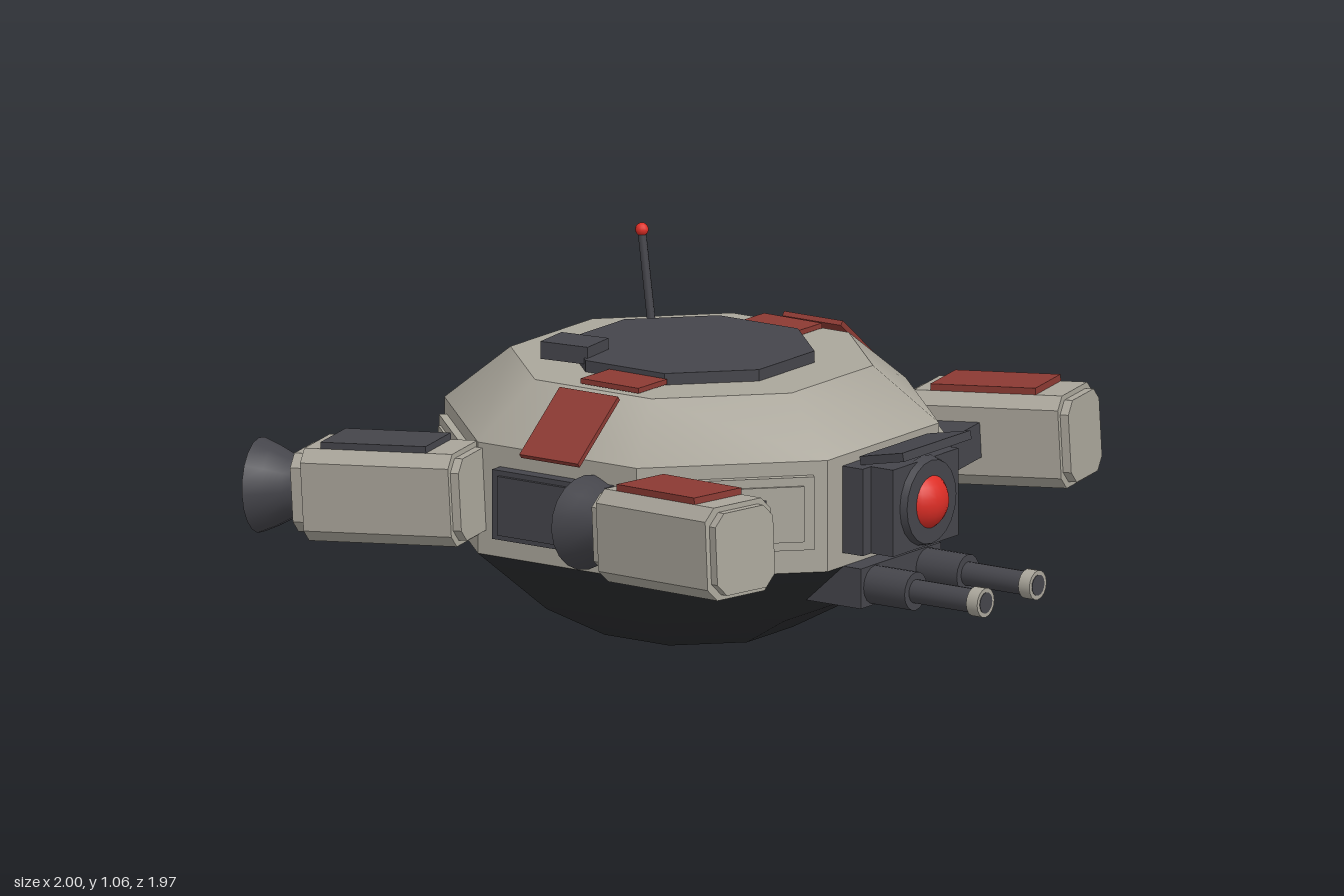
import * as THREE from 'three';
import { toCreasedNormals } from 'three/addons/utils/BufferGeometryUtils.js';

const material = (name, color) => {
  const m = new THREE.MeshStandardMaterial({ color });
  m.name = name;
  return m;
};

export function createModel() {
  const hull = material('warm grey hull', 0xaaa69b);
  const dark = material('dark grey metal', 0x45454b);
  const under = material('black underside', 0x2b2c2f);
  const tileRed = material('dull red panel', 0x8c3a33);
  const bright = material('bright red', 0xdd2e26);
  const blue = material('engine blue', 0x3a7bab);

  const model = new THREE.Group();
  model.name = 'hoverDrone';
  const CX = -0.095; // hull axis
  const APO = 0.655; // hull apothem

  function add(parent, name, geometry, mat, x = 0, y = 0, z = 0) {
    const mesh = new THREE.Mesh(geometry, mat);
    mesh.name = name;
    mesh.position.set(x, y, z);
    parent.add(mesh);
    return mesh;
  }
  const box = (parent, name, mat, size, pos) =>
    add(parent, name, new THREE.BoxGeometry(...size), mat, ...pos);
  // cylinder lying along x, r0 at the -x end and r1 at the +x end
  const rod = (r0, r1, length, sides = 16) =>
    new THREE.CylinderGeometry(r0, r1, length, sides).rotateZ(Math.PI / 2);
  // eight-sided body of revolution, points are [apothem, y] from the bottom up
  function octagon(points) {
    const k = 1 / Math.cos(Math.PI / 8);
    const profile = points.map(([r, y]) => new THREE.Vector2(r * k, y));
    return toCreasedNormals(new THREE.LatheGeometry(profile, 8, Math.PI / 8), 0.53);
  }
  // bar along x with chamfered long edges, starting at x = 0
  function chamferedBar(w, h, c, length) {
    const s = new THREE.Shape();
    const a = w / 2, b = h / 2;
    [[a - c, -b], [a, c - b], [a, b - c], [a - c, b], [c - a, b], [-a, b - c], [-a, c - b], [c - a, -b]]
      .forEach(([x, y], i) => (i ? s.lineTo(x, y) : s.moveTo(x, y)));
    s.closePath();
    return new THREE.ExtrudeGeometry(s, { depth: length, bevelEnabled: false }).rotateY(Math.PI / 2);
  }

  // Main hull
  add(model, 'lowerHull', octagon([[0, 0], [0.267, 0], [0.445, 0.1], [APO, 0.29]]), under, CX);
  add(model, 'upperHull', octagon([[APO, 0.29], [APO, 0.61], [0.48, 0.765], [0, 0.765]]), hull, CX);
  add(model, 'topHatch', octagon([[0.325, 0.765], [0.325, 0.798], [0, 0.798]]), dark, CX);
  const sensorBox = box(model, 'sensorBox', dark, [0.15, 0.05, 0.125], [-0.32, 0.805, 0.25]);
  sensorBox.rotation.y = 0.12;

  // Panels on the hull walls
  for (let i = 0; i < 4; i++) {
    const facet = new THREE.Group();
    facet.name = 'diagonalPanel';
    facet.position.set(CX, 0.465, 0);
    facet.rotation.y = Math.PI / 4 + i * Math.PI / 2;
    box(facet, 'panelFrame', hull, [0.025, 0.21, 0.46], [APO + 0.01, 0, 0]);
    box(facet, 'panelCover', hull, [0.02, 0.16, 0.4], [APO + 0.02, 0, 0]);
    model.add(facet);
  }
  for (let i = 1; i < 4; i++) {
    const facet = new THREE.Group();
    facet.name = 'wallVent';
    facet.position.set(CX, 0.45, 0);
    facet.rotation.y = i * Math.PI / 2;
    box(facet, 'ventBase', dark, [0.05, 0.2, 0.39], [APO + 0.015, 0, 0]);
    box(facet, 'ventCover', dark, [0.02, 0.17, 0.34], [APO + 0.04, 0, 0]);
    model.add(facet);
  }

  // Red armour tiles at front and back
  for (const s of [1, -1]) {
    const flat = box(model, 'topTile', tileRed, [0.2, 0.015, 0.135], [s > 0 ? -0.05 : -0.075, 0.777, s * 0.395]);
    flat.rotation.y = -0.02;
    const slope = box(model, 'slopeTile', tileRed, [0.2, 0.015, 0.25], [-0.063, 0.692, s * 0.64]);
    slope.rotation.x = s * 0.67;
  }

  // Antenna
  const antenna = new THREE.LineCurve3(new THREE.Vector3(-0.385, 0.76, -0.22), new THREE.Vector3(-0.42, 1.035, -0.22));
  add(model, 'antennaRod', new THREE.TubeGeometry(antenna, 1, 0.012, 8), dark);
  add(model, 'antennaTip', new THREE.SphereGeometry(0.019, 12, 8), bright, -0.42, 1.04, -0.22);

  // Eye on the nose
  const eye = new THREE.Group();
  eye.name = 'eye';
  model.add(eye);
  box(eye, 'eyeBase', dark, [0.1, 0.25, 0.4], [0.58, 0.455, 0]);
  box(eye, 'eyeHousing', dark, [0.1, 0.25, 0.32], [0.655, 0.455, 0]);
  add(eye, 'eyeCollar', rod(0.13, 0.12, 0.03, 20), dark, 0.71, 0.46, 0);
  add(eye, 'eyeLens', new THREE.SphereGeometry(0.09, 24, 16), bright, 0.675, 0.46, 0);
  const visor = box(eye, 'eyeVisor', dark, [0.15, 0.025, 0.33], [0.67, 0.608, 0]);
  visor.rotation.z = 0.2;

  // Twin guns under the nose
  box(model, 'gunMount', dark, [0.25, 0.115, 0.39], [0.495, 0.233, 0]);
  for (const z of [0.127, -0.127]) {
    const gun = new THREE.Group();
    gun.name = 'gun';
    gun.position.set(0, 0.233, z);
    add(gun, 'gunSleeve', rod(0.055, 0.055, 0.14), dark, 0.69);
    add(gun, 'gunBarrel', rod(0.034, 0.034, 0.22), dark, 0.86);
    add(gun, 'gunMuzzle', rod(0.042, 0.042, 0.038), hull, 0.98);
    add(gun, 'gunBore', rod(0.03, 0.03, 0.004), dark, 0.9985);
    model.add(gun);
  }

  // Four engine pods, nozzles towards -x
  const bell = [[0, 0], [0.082, 0], [0.09, 0.05], [0.115, 0.1], [0.135, 0.15], [0, 0.15]]
    .map(([r, y]) => new THREE.Vector2(r, y));
  const nozzle = toCreasedNormals(new THREE.LatheGeometry(bell, 20).rotateZ(Math.PI / 2), 0.6);
  for (const sx of [-1, 1]) {
    for (const sz of [-1, 1]) {
      const pod = new THREE.Group();
      pod.name = 'enginePod';
      pod.position.set(sx < 0 ? -0.59 : 0.41, 0.463, sz * 0.772);
      pod.rotation.set(0, -0.21 * sx * sz, 0.055);
      add(pod, 'podBody', chamferedBar(0.25, 0.265, 0.035, 0.45), hull, -0.21);
      add(pod, 'podEndPlate', chamferedBar(0.22, 0.235, 0.035, 0.025), hull, 0.24);
      add(pod, 'podRearPlate', chamferedBar(0.21, 0.225, 0.035, 0.04), hull, -0.25);
      add(pod, 'nozzle', nozzle, dark, -0.238);
      add(pod, 'nozzleGlow', rod(0.112, 0.112, 0.006, 20), blue, -0.389);
      box(pod, 'podTopPanel', sx < 0 ? dark : tileRed, [0.32, 0.025, 0.18], [0, 0.139, 0]);
      box(pod, 'podPylon', dark, [0.2, 0.1, 0.26], [-sx * 0.1, 0.005, -sz * 0.2]);
      model.add(pod);
    }
  }
  return model;
}
